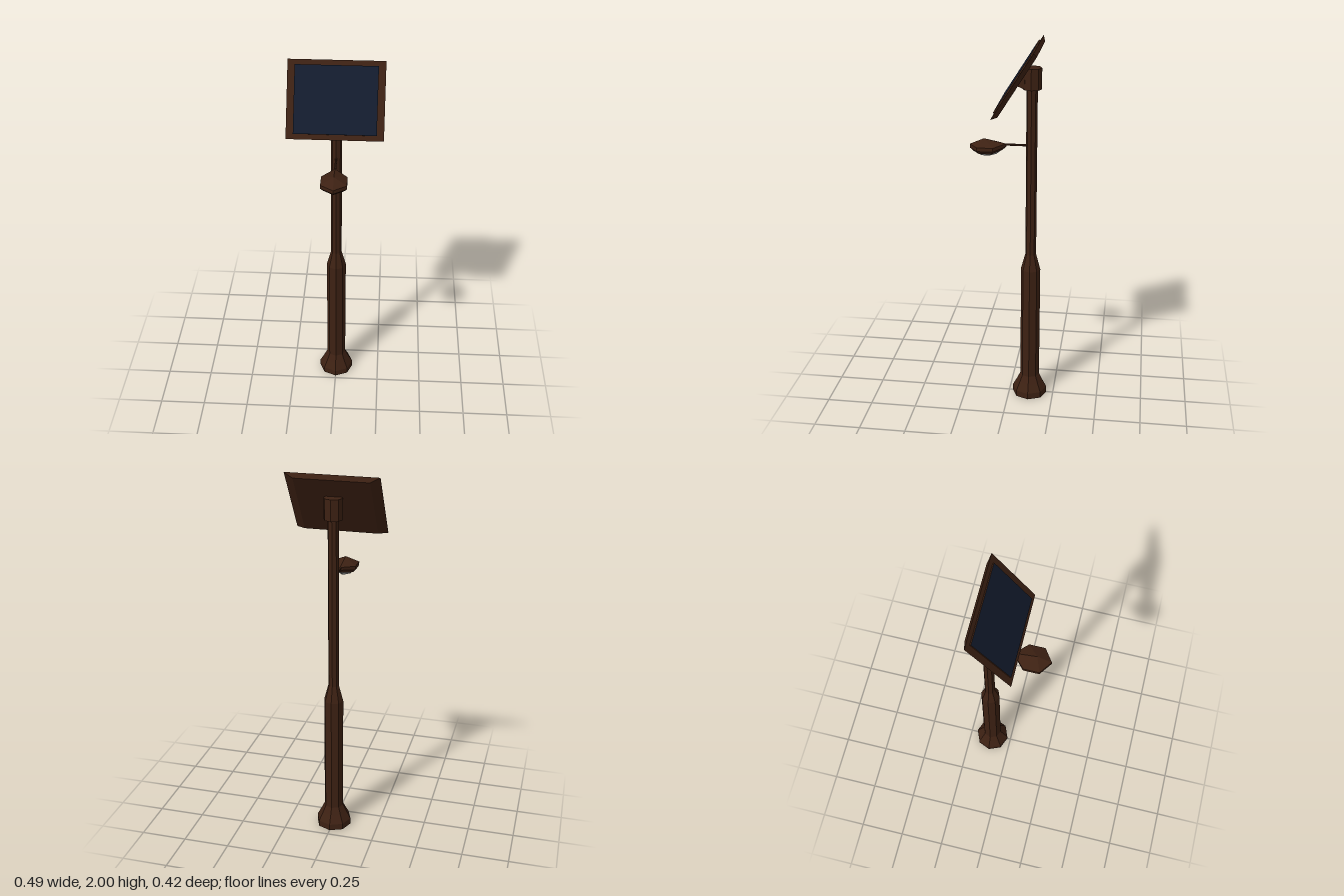
import * as THREE from 'three';

const material = (color) => new THREE.MeshStandardMaterial({ color, flatShading: true });
const POLE_Z = -0.116;

// Closed faceted solid through rings of points, counter-clockwise seen from the last ring.
function loft(rings) {
  const pos = [];
  const tri = (...pts) => pts.forEach((p) => pos.push(...p));
  const n = rings[0].length;
  for (let r = 0; r < rings.length - 1; r++) {
    const a = rings[r], b = rings[r + 1];
    for (let i = 0; i < n; i++) {
      const j = (i + 1) % n;
      tri(a[i], a[j], b[j]);
      tri(a[i], b[j], b[i]);
    }
  }
  const first = rings[0], last = rings[rings.length - 1];
  for (let i = 1; i < n - 1; i++) {
    tri(first[0], first[i + 1], first[i]);
    tri(last[0], last[i], last[i + 1]);
  }
  const geo = new THREE.BufferGeometry();
  geo.setAttribute('position', new THREE.Float32BufferAttribute(pos, 3));
  geo.computeVertexNormals();
  return geo;
}

const rect = (x, y, z) => [[-x, -y, z], [x, -y, z], [x, y, z], [-x, y, z]];

// Six-sided outline of the lamp head, scaled about its middle; rearLift raises the rear tip.
function lampRing(scale, y, rearLift = 0) {
  const mid = 0.122;
  const outline = [[0, 0.21], [0.067, 0.163], [0.067, 0.08], [0, 0.016], [-0.067, 0.08], [-0.067, 0.163]];
  return outline.map(([x, z], i) => [x * scale, y + (i === 3 ? rearLift : 0), mid + (z - mid) * scale]);
}

export function createModel() {
  const model = new THREE.Group();
  const brown = material(0x3d2113);
  const screen = material(0x131c2e);
  const glass = material(0x9a9a9a);
  const add = (name, geo, mat, parent = model) => {
    const mesh = new THREE.Mesh(geo, mat);
    mesh.name = name;
    parent.add(mesh);
    return mesh;
  };

  // Octagonal pole: flared foot, thick lower column, slim upper column
  const profile = [
    [0, 0], [0.096, 0], [0.096, 0.035], [0.072, 0.08], [0.053, 0.12],
    [0.053, 0.77], [0.029, 0.86], [0.029, 1.78], [0, 1.78],
  ].map(([r, y]) => new THREE.Vector2(r, y));
  add('pole', new THREE.LatheGeometry(profile, 8), brown).position.z = POLE_Z;

  // Panel assembly, tilted back so its face looks up and forward
  const tilt = 0.564;
  const panel = new THREE.Group();
  panel.name = 'solarPanel';
  panel.position.set(0, 1.834, -0.042);
  panel.rotation.x = -tilt;
  model.add(panel);
  add('panelFrame', loft([rect(0.195, 0.182, -0.024), rect(0.243, 0.1965, 0)]), brown, panel);
  add('panelTray', loft([rect(0.207, 0.17, -0.002), rect(0.207, 0.17, 0.007)]), brown, panel);
  add('panelCells', new THREE.PlaneGeometry(0.414, 0.34), screen, panel).position.z = 0.0075;

  // Pole cap, trimmed in front by the back of the panel
  const cap = new THREE.CylinderGeometry(0.05, 0.05, 0.11, 8);
  cap.translate(0, 1.825, POLE_Z);
  const p = cap.attributes.position;
  for (let i = 0; i < p.count; i++) {
    const back = -0.056 - (p.getY(i) - 1.834) * Math.tan(tilt);
    p.setZ(i, Math.min(p.getZ(i), back));
  }
  add('poleCap', cap, brown);

  // Wedge between cap and panel (profile drawn in z and y, extruded along x)
  const wedge = new THREE.Shape([
    [-0.11, 1.77], [-0.09, 1.77], [-0.036, 1.792], [-0.082, 1.87], [-0.11, 1.87],
  ].map(([z, y]) => new THREE.Vector2(-z, y)));
  const bracket = new THREE.ExtrudeGeometry(wedge, { depth: 0.064, bevelEnabled: false });
  bracket.translate(0, 0, -0.032).rotateY(Math.PI / 2);
  add('panelBracket', bracket, brown);

  // Thin arm carrying the lamp
  const arm = new THREE.CylinderGeometry(0.006, 0.006, 0.15, 6);
  arm.rotateX(Math.PI / 2);
  add('lampArm', arm, brown).position.set(0, 1.471, -0.035);

  // Faceted lamp head with a pointed roof
  const apex = lampRing(0, 1.5).map(([x, y]) => [x, y, 0.135]);
  add('lampHead', loft([
    lampRing(0.78, 1.43, 0.01), lampRing(1, 1.447, 0.013), lampRing(1, 1.467, 0.008), apex,
  ]), brown);

  // Lens under the lamp head
  add('lampLens', loft([lampRing(0.5, 1.418), lampRing(0.68, 1.434)]), glass);

  return model;
}
